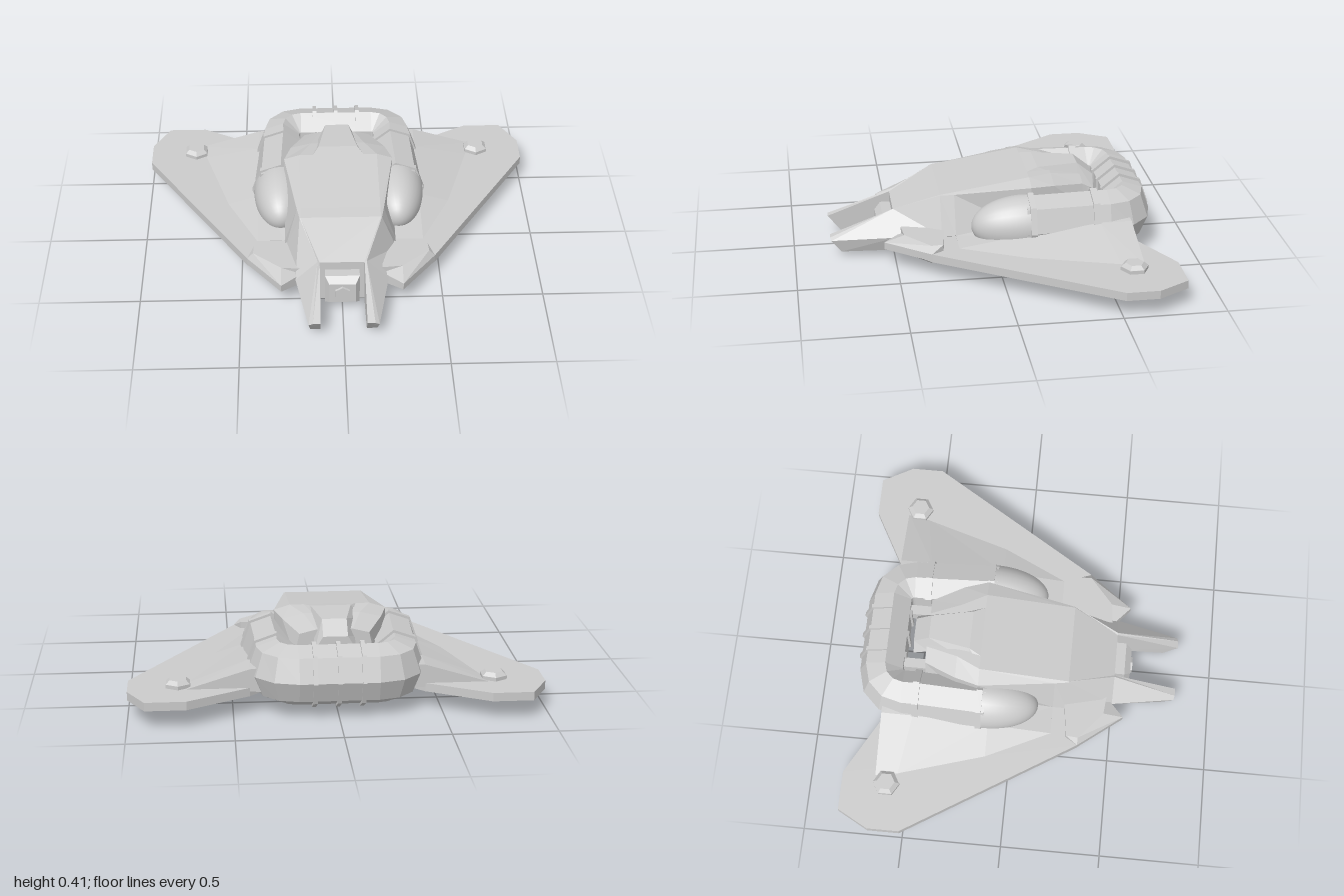
import * as THREE from 'three';

const flat = new THREE.MeshStandardMaterial({ color: 0xcccccc, flatShading: true });
const smooth = new THREE.MeshStandardMaterial({ color: 0xcccccc });

// Solid skin over closed rings of [x, y, z] points, capped at both ends
function loft(rings) {
  const pos = [], n = rings[0].length;
  const tri = (a, b, c) => pos.push(...a, ...b, ...c);
  for (let i = 0; i < rings.length - 1; i++) {
    for (let j = 0; j < n; j++) {
      const k = (j + 1) % n;
      tri(rings[i][j], rings[i][k], rings[i + 1][k]);
      tri(rings[i][j], rings[i + 1][k], rings[i + 1][j]);
    }
  }
  const cap = (r, flip) => {
    const c = [0, 1, 2].map(a => r.reduce((s, p) => s + p[a], 0) / n);
    r.forEach((p, j) => flip ? tri(c, r[(j + 1) % n], p) : tri(c, p, r[(j + 1) % n]));
  };
  cap(rings[0], true);
  cap(rings[rings.length - 1], false);
  // Turn all faces outward, using the signed volume
  let vol = 0;
  const v = i => new THREE.Vector3().fromArray(pos, i);
  for (let i = 0; i < pos.length; i += 9) vol += v(i).dot(v(i + 3).cross(v(i + 6)));
  if (vol < 0) {
    for (let i = 0; i < pos.length; i += 9) {
      const b = pos.slice(i + 3, i + 6);
      for (let a = 0; a < 3; a++) { pos[i + 3 + a] = pos[i + 6 + a]; pos[i + 6 + a] = b[a]; }
    }
  }
  const g = new THREE.BufferGeometry();
  g.setAttribute('position', new THREE.Float32BufferAttribute(pos, 3));
  g.computeVertexNormals();
  return g;
}

// Full symmetric ring from the right half of a section
const ring = (z, half) => [
  ...half.map(([x, y]) => [x, y, z]),
  ...half.slice().reverse().map(([x, y]) => [-x, y, z]),
];

// Flat plate from an x/z outline
function slab(outline, s, y0, y1) {
  const shape = new THREE.Shape(outline.map(([x, z]) => new THREE.Vector2(s * x, z)));
  const g = new THREE.ExtrudeGeometry(shape, { depth: y1 - y0, bevelEnabled: false });
  return g.rotateX(Math.PI / 2).translate(0, y1, 0);
}

// Engine duct section: outward offset, height offset
const ductSection = [[-0.025, 0.15], [0.075, 0.115], [0.115, 0], [0.075, -0.1], [-0.025, -0.15], [-0.11, -0.08], [-0.11, 0.08]];
function ductRing(x, z, angle, scale = 1) {
  const nx = Math.cos(angle), nz = -Math.sin(angle);
  return ductSection.map(([o, h]) => [x + nx * o * scale, 0.2 + h * scale, z + nz * o * scale]);
}

export function createModel() {
  const model = new THREE.Group();
  const add = (name, geometry, material = flat) => {
    const m = new THREE.Mesh(geometry, material);
    m.name = name;
    model.add(m);
    return m;
  };
  const box = (name, w, h, d, x, y, z) => add(name, new THREE.BoxGeometry(w, h, d).translate(x, y, z));

  // Faceted hull
  const nose = [[0.11, 0.235], [0.12, 0.24], [0.23, 0.13], [0.2, 0.05], [0.11, 0.01]];
  add('hull', loft([
    ring(0.5, nose),
    ring(0.27, [[0.2, 0.337], [0.205, 0.335], [0.28, 0.145], [0.2, 0.045], [0.1, 0.025]]),
    ring(0.2, [[0.2, 0.347], [0.218, 0.34], [0.28, 0.145], [0.2, 0.06], [0.1, 0.04]]),
    ring(-0.18, [[0.2, 0.405], [0.28, 0.38], [0.28, 0.145], [0.2, 0.06], [0.1, 0.04]]),
    ring(-0.3, [[0.14, 0.395], [0.245, 0.37], [0.25, 0.17], [0.18, 0.08], [0.1, 0.05]]),
    ring(-0.46, [[0.09, 0.36], [0.17, 0.34], [0.195, 0.23], [0.15, 0.11], [0.1, 0.09]]),
  ]));

  // Raised spine behind the canopy
  add('spine', loft([
    ring(-0.18, [[0.13, 0.405], [0.18, 0.36]]),
    ring(-0.24, [[0.1, 0.415], [0.15, 0.35]]),
    ring(-0.45, [[0.06, 0.41], [0.1, 0.32]]),
    ring(-0.53, [[0.06, 0.345], [0.1, 0.28]]),
  ]));
  box('keel', 0.2, 0.05, 0.53, 0, 0.05, -0.065);

  // Nose gun between the prongs
  const gun = (z, w, y0, y1) => ring(z, [[w, y1], [w, y0]]);
  add('noseGun', loft([gun(0.45, 0.085, 0.03, 0.19), gun(0.55, 0.085, 0.03, 0.19), gun(0.58, 0.065, 0.05, 0.16)]));
  add('gunMuzzle', new THREE.CylinderGeometry(0.04, 0.045, 0.02, 6).rotateX(Math.PI / 2).translate(0, 0.105, 0.58));

  // Engine duct running round the stern
  const half = [[0.325, -0.14, 0], [0.31, -0.49, 0]];
  for (let i = 0; i <= 3; i++) {
    const a = i * Math.PI / 6;
    half.push([0.19 + 0.12 * Math.cos(a), -0.56 - 0.125 * Math.sin(a), a]);
  }
  const path = [...half, ...half.slice().reverse().map(([x, z, a]) => [-x, z, Math.PI - a])];
  add('engineDuct', loft(path.map(p => ductRing(...p))));

  // Bands round the stern
  for (const x of [-0.115, 0, 0.115]) {
    add('sternBand', loft([-0.01, 0.01].map(d => ductRing(x + d, -0.685, Math.PI / 2, 1.1))));
  }

  for (const s of [1, -1]) {
    const side = s > 0 ? 'left' : 'right';
    const flip = pts => pts.map(([x, y, z]) => [s * x, y, z]);

    // Forward prong
    add(side + 'Prong', loft([
      flip(nose.map(([x, y]) => [x, y, 0.5])),
      flip([[0.112, 0.116, 0.82], [0.15, 0.116, 0.82], [0.17, 0.105, 0.815], [0.163, 0.04, 0.765], [0.112, 0.025, 0.75]]),
    ]));

    // Bands on the duct arms
    for (const [x, z, w] of [[0.323, -0.17, 0.015], [0.31, -0.49, 0.017]]) {
      add(side + 'DuctBand', loft([-w, w].map(d => flip(ductRing(x, z + d, 0, 1.09)))));
    }

    // Rounded fairing in front of the duct
    add(side + 'IntakeDome', new THREE.SphereGeometry(1, 28, 12, 0, Math.PI * 2, 0, Math.PI / 2)
      .rotateX(Math.PI / 2).scale(0.14, 0.15, 0.28).translate(s * 0.3, 0.2, -0.155), smooth);

    // Wing plate with a thin bevel
    const wing = [[1, -0.51], [0.47, 0.34], [0.3, 0.5], [0.2, 0.45], [0.2, -0.3], [0.36, -0.6], [0.42, -0.66],
      [0.72, -0.825], [0.915, -0.825], [1, -0.67]];
    add(side + 'Wing', slab(wing, s, 0.1, 0.142));

    // Sloped rise of the wing towards the root
    add(side + 'WingRoot', loft([
      flip([[0.28, 0.12, 0.2], [0.28, 0.145, 0.2], [0.42, 0.142, 0.2], [0.42, 0.12, 0.2]]),
      flip([[0.28, 0.12, -0.12], [0.28, 0.2, -0.12], [0.42, 0.19, -0.12], [0.58, 0.14, -0.12]]),
      flip([[0.3, 0.12, -0.5], [0.3, 0.245, -0.5], [0.42, 0.232, -0.5], [0.71, 0.14, -0.55]]),
      flip([[0.36, 0.12, -0.66], [0.36, 0.24, -0.66], [0.42, 0.235, -0.66], [0.73, 0.14, -0.66]]),
    ]));

    // Thick leading block at the front of the wing root
    const level = (y, k) => flip([[0.2, y, 0.47], [0.3, y, 0.56 - k], [0.47 - k * 0.3, y, 0.34], [0.435, y, 0.28], [0.2, y, 0.25]]);
    add(side + 'WingBlock', loft([level(0.085, 0.08), level(0.105, 0), level(0.142, 0), level(0.175, 0.1)]));

    // Six-sided wing knob
    add(side + 'WingKnob', new THREE.CylinderGeometry(0.045, 0.068, 0.02, 6).translate(s * 0.76, 0.168, -0.6));
    add(side + 'KnobBase', new THREE.CylinderGeometry(0.068, 0.068, 0.03, 6).translate(s * 0.76, 0.145, -0.6));

    // Underside teeth and rear duct struts
    for (const z of [0.06, 0, -0.06]) box(side + 'Tooth', 0.06, 0.04, 0.03, s * 0.24, 0.095, z);
    box(side + 'Strut', 0.05, 0.06, 0.14, s * 0.145, 0.22, -0.51);
  }
  return model;
}
